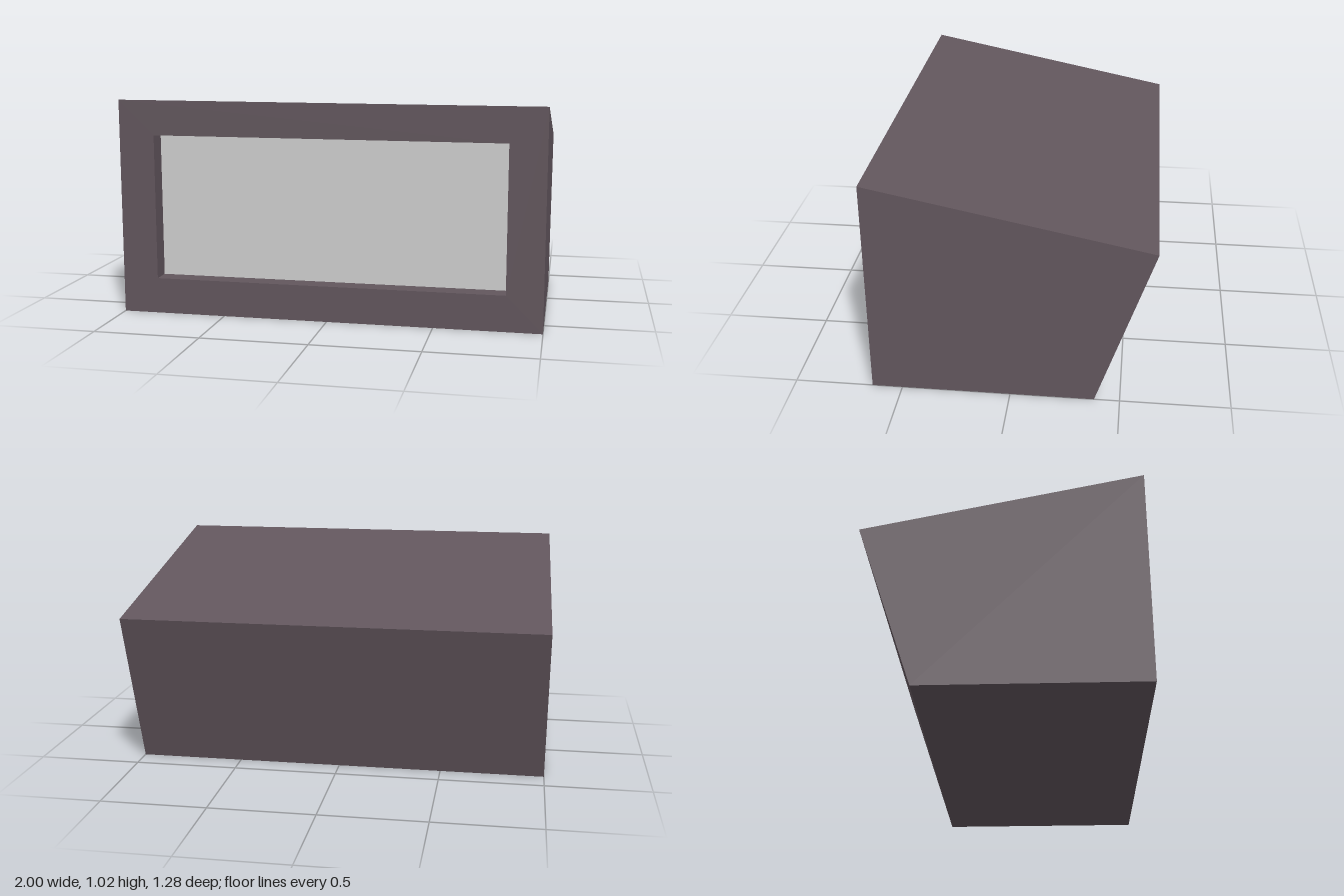
import * as THREE from 'three';

const shellMaterial = new THREE.MeshStandardMaterial({ name: 'dark mauve shell', color: 0x62565d });
const screenMaterial = new THREE.MeshStandardMaterial({ name: 'light grey screen', color: 0xcfcfcf });

// Four corners of a rectangle, anticlockwise from the front; top and bottom may differ in z.
function ring(halfWidth, bottom, top, zBottom, zTop = zBottom) {
  return [
    [-halfWidth, bottom, zBottom],
    [halfWidth, bottom, zBottom],
    [halfWidth, top, zTop],
    [-halfWidth, top, zTop],
  ];
}

// Flat-faced skin through successive rings, closed at the last one.
function loft(rings) {
  const points = [];
  for (let r = 0; r < rings.length - 1; r++) {
    const a = rings[r], b = rings[r + 1];
    for (let i = 0; i < 4; i++) {
      const j = (i + 1) % 4;
      points.push(a[i], b[i], b[j], a[i], b[j], a[j]);
    }
  }
  const end = rings[rings.length - 1];
  points.push(end[0], end[3], end[2], end[0], end[2], end[1]);
  const geometry = new THREE.BufferGeometry();
  geometry.setAttribute('position', new THREE.Float32BufferAttribute(points.flat(), 3));
  geometry.computeVertexNormals();
  return geometry;
}

export function createModel() {
  const group = new THREE.Group();
  group.name = 'monitor';

  const front = 0.64, recess = 0.55;
  const halfWidth = 0.83, bottom = 0.17, top = 0.86;

  // Shell: recess walls, front frame, tapering sides and slanted back
  const shell = new THREE.Mesh(loft([
    ring(halfWidth, bottom, top, recess),
    ring(halfWidth, bottom, top, front),
    ring(1, 0, 1.025, front),
    ring(1, 0, 0.768, -0.384, -0.64),
  ]), shellMaterial);
  shell.name = 'shell';
  group.add(shell);

  // Screen closing the recess
  const screen = new THREE.Mesh(new THREE.PlaneGeometry(halfWidth * 2, top - bottom), screenMaterial);
  screen.name = 'screen';
  screen.position.set(0, (top + bottom) / 2, recess);
  group.add(screen);

  return group;
}
